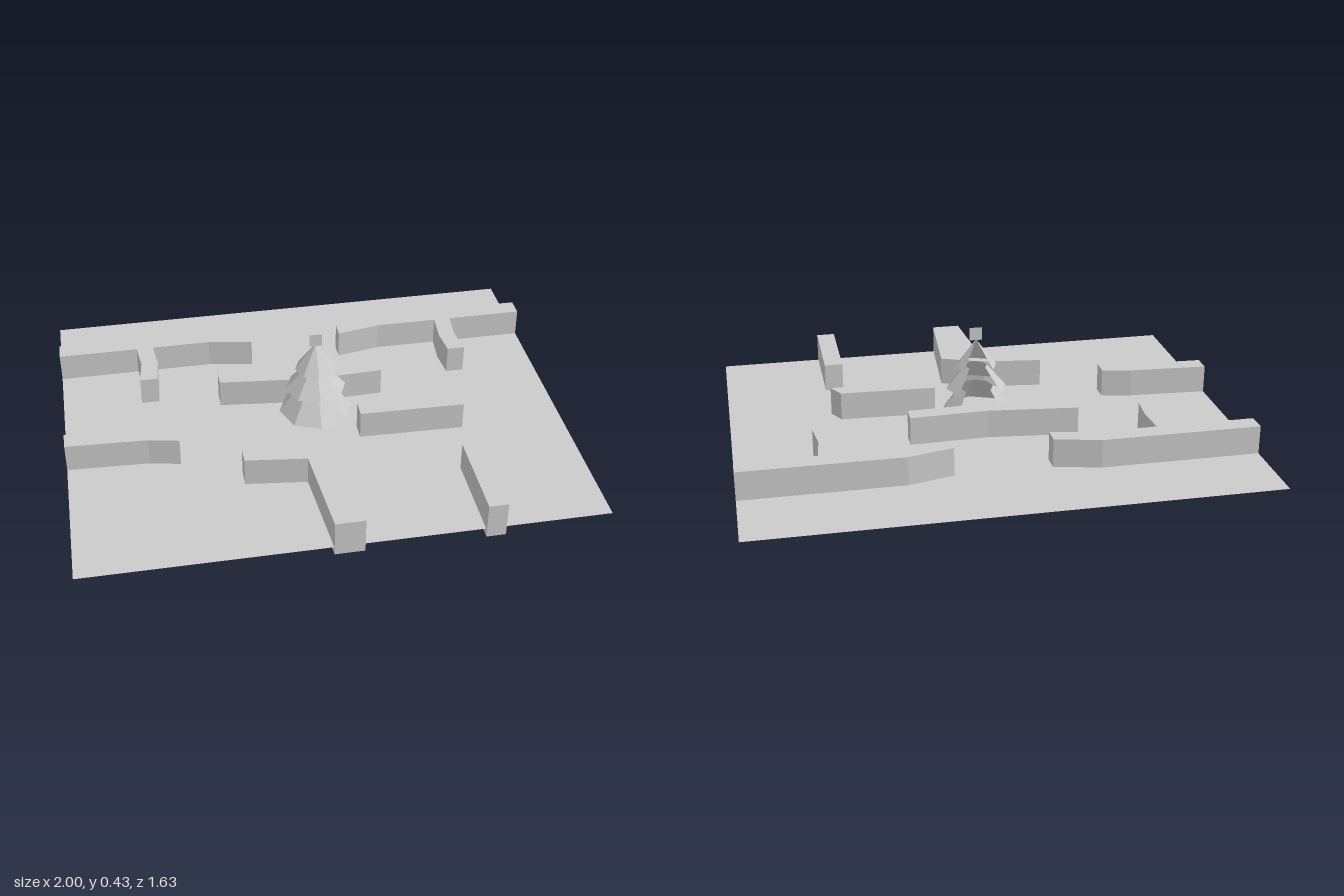
import * as THREE from 'three';

const WALL_HEIGHT = 0.145;
const GROUND_Y = 0.03;

const solid = new THREE.MeshStandardMaterial({ color: 0xcccccc, flatShading: true });
const thin = new THREE.MeshStandardMaterial({ color: 0xcccccc, flatShading: true, side: THREE.DoubleSide });

function addMesh(parent, name, geometry, material) {
  const mesh = new THREE.Mesh(geometry, material);
  mesh.name = name;
  parent.add(mesh);
  return mesh;
}

// Upright wall from a plan outline of [x, z] points
function addWall(parent, name, outline) {
  const shape = new THREE.Shape(outline.map(([x, z]) => new THREE.Vector2(x, -z)));
  const geometry = new THREE.ExtrudeGeometry(shape, { depth: WALL_HEIGHT, bevelEnabled: false });
  geometry.rotateX(-Math.PI / 2);
  return addMesh(parent, name, geometry, solid);
}

// Long back wall with a short bent spur; side is +1 or -1
function backWallOutline(side, spurX) {
  const spur = [[0.035, -0.433], [0.023, -0.317], [0.037, -0.203],
    [-0.035, -0.203], [-0.045, -0.313], [-0.035, -0.433]];
  return [
    [0.19, -0.467], [0.37, -0.51], [1, -0.51], [1, -0.433],
    ...spur.map(([x, z]) => [spurX + x, z]),
    [0.37, -0.433], [0.19, -0.4],
  ].map(([x, z]) => [side * x, z]);
}

export function createModel() {
  const model = new THREE.Group();
  model.name = 'mazeWithTree';

  // Ground sheet, slightly above the wall bottoms
  const ground = addMesh(model, 'ground', new THREE.PlaneGeometry(2, 1.615).rotateX(-Math.PI / 2), thin);
  ground.position.set(0, GROUND_Y, -0.008);

  // Walls
  const walls = new THREE.Group();
  walls.name = 'walls';
  model.add(walls);
  addWall(walls, 'backWallLeft', backWallOutline(1, 0.657));
  addWall(walls, 'backWallRight', backWallOutline(-1, 0.643));
  addWall(walls, 'middleWall', [[-0.36, -0.2], [0, -0.16], [0.31, -0.17],
    [0.31, -0.1], [0.01, -0.09], [-0.36, -0.13]]);
  addWall(walls, 'sideWallRight', [[-1, 0.11], [-0.68, 0.13], [-0.56, 0.155],
    [-0.56, 0.225], [-0.68, 0.2], [-1, 0.185]]);
  addWall(walls, 'sideWallLeft', [[0.165, 0.11], [0.55, 0.125], [0.585, 0.19], [0.165, 0.18]]);
  addWall(walls, 'hookWall', [[-0.33, 0.32], [-0.09, 0.35], [0.085, 0.42],
    [0.055, 0.805], [-0.06, 0.805], [-0.09, 0.42], [-0.33, 0.39]]);
  addWall(walls, 'frontWall', [[0.51, 0.44], [0.585, 0.44], [0.585, 0.81], [0.51, 0.81]]);

  // Tree of three eight-sided tiers, open over the two back sides
  const tree = new THREE.Group();
  tree.name = 'tree';
  tree.position.set(0.013, 0, 0.01);
  model.add(tree);
  const tiers = [ // top radius, bottom radius, top y, bottom y
    [0, 0.083, 0.385, 0.272],
    [0.045, 0.122, 0.272, 0.18],
    [0.07, 0.148, 0.18, 0.073],
  ];
  tiers.forEach(([rTop, rBottom, top, bottom], i) => {
    const geometry = new THREE.CylinderGeometry(rTop, rBottom, top - bottom, 6, 1, true,
      -Math.PI * 0.75, Math.PI * 1.5);
    addMesh(tree, `treeTier${i + 1}`, geometry, thin).position.y = (top + bottom) / 2;
  });

  // Flat square ornament on the tip
  addMesh(tree, 'treeTopper', new THREE.PlaneGeometry(0.05, 0.053), thin).position.set(0, 0.405, 0.005);

  return model;
}
